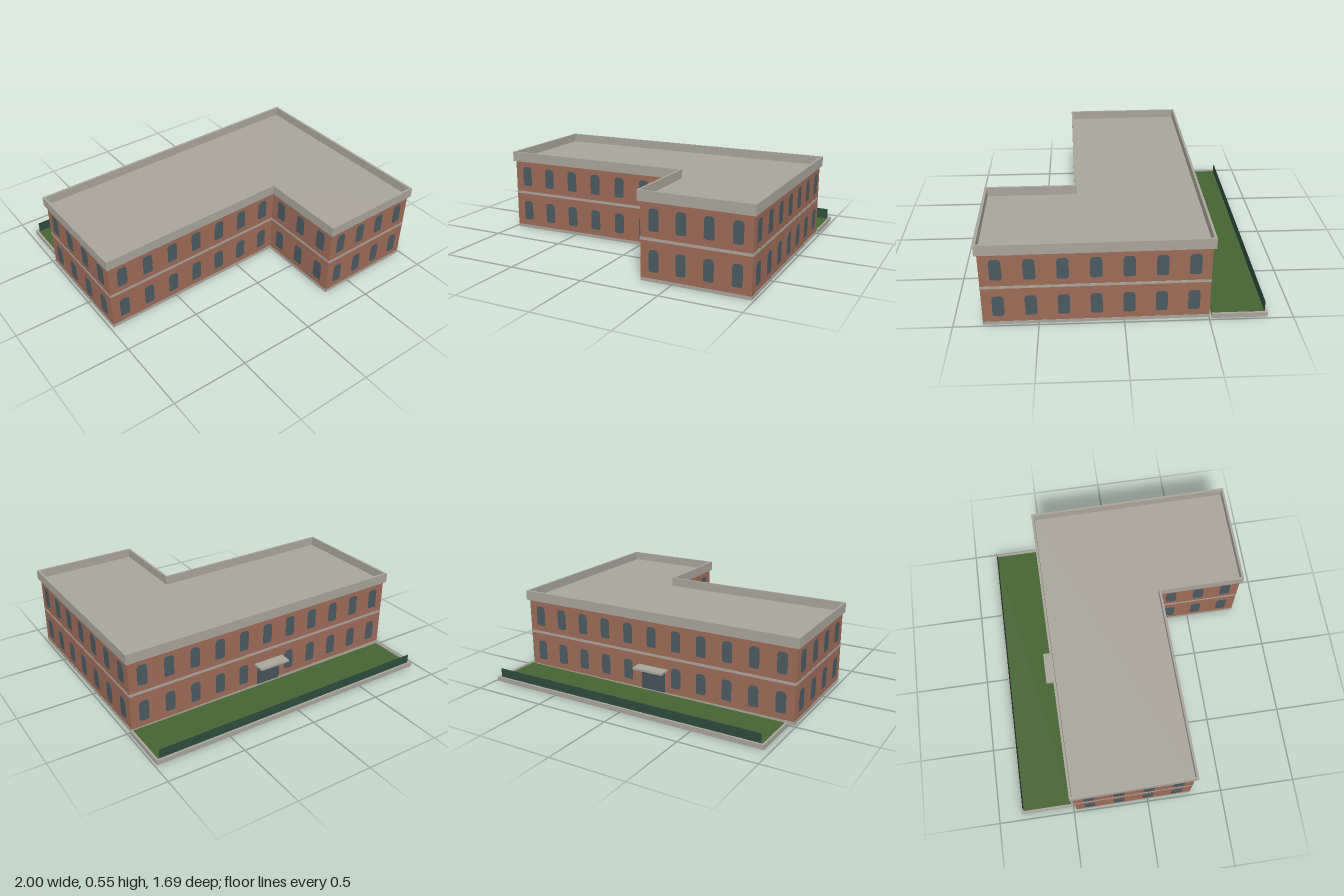
import * as THREE from 'three';

const material = (name, color, side = THREE.FrontSide) => {
  const m = new THREE.MeshStandardMaterial({ color, side });
  m.name = name;
  return m;
};

export function createModel() {
  const model = new THREE.Group();
  model.name = 'brickBuilding';

  const brick = material('brick', 0x9c6b57, THREE.DoubleSide);
  const stone = material('stone', 0xa8a49a, THREE.DoubleSide);
  const glass = material('windowGlass', 0x4a5a60);
  const doorPaint = material('doorPaint', 0x46535b);
  const grass = material('grass', 0x446332, THREE.DoubleSide);
  const hedgeGreen = material('hedgeGreen', 0x2c4d3d, THREE.DoubleSide);

  const add = (parent, name, geometry, mat, x = 0, y = 0, z = 0) => {
    const mesh = new THREE.Mesh(geometry, mat);
    mesh.name = name;
    mesh.position.set(x, y, z);
    parent.add(mesh);
    return mesh;
  };
  const box = (parent, name, mat, w, h, d, x, y, z) =>
    add(parent, name, new THREE.BoxGeometry(w, h, d), mat, x, y, z);

  // L-shaped plan as [x, z] corners: wall line and the wider parapet line
  const wallLine = [[-0.977, 0.29], [0.3, 0.266], [0.303, 0.831], [0.984, 0.825], [0.971, -0.502], [-0.985, -0.482]];
  const parapetLine = [[-0.99, 0.305], [0.286, 0.281], [0.288, 0.846], [1, 0.839], [0.986, -0.518], [-1, -0.497]];
  const plan = (points) => points.map(([x, z]) => new THREE.Vector2(x, -z));

  const WALL_TOP = 0.482;
  const ROOF_TOP = 0.545;

  // Window outline with clipped bottom corners and a shallow arched head
  const windowGeometry = (w, h) => {
    const r = w / 2, c = 0.008;
    const s = new THREE.Shape();
    s.moveTo(-r + c, 0);
    s.lineTo(r - c, 0);
    s.lineTo(r, c);
    s.lineTo(r, h - 0.024);
    s.quadraticCurveTo(r - 0.003, h, r - 0.02, h);
    s.lineTo(-r + 0.02, h);
    s.quadraticCurveTo(-r + 0.003, h, -r, h - 0.024);
    s.lineTo(-r, c);
    return new THREE.ExtrudeGeometry(s, { depth: 0.006, bevelEnabled: false, curveSegments: 5 })
      .translate(0, 0, -0.003);
  };

  // Walls: each runs along local x and faces local +z
  const windowCounts = [7, 3, 4, 7, 11, 4];
  const wallNames = ['mainFrontWall', 'wingRightWall', 'wingFrontWall', 'leftWall', 'backWall', 'rightWall'];
  wallLine.forEach(([ax, az], i) => {
    const [bx, bz] = wallLine[(i + 1) % wallLine.length];
    const length = Math.hypot(bx - ax, bz - az);
    const wall = new THREE.Group();
    wall.name = wallNames[i];
    wall.position.set(ax, 0, az);
    wall.rotation.y = Math.atan2(az - bz, bx - ax);
    model.add(wall);

    add(wall, 'brickFace', new THREE.PlaneGeometry(length, WALL_TOP), brick, length / 2, WALL_TOP / 2, 0);
    box(wall, 'plinthBand', stone, length, 0.02, 0.004, length / 2, 0.01, 0);
    box(wall, 'floorBand', stone, length, 0.017, 0.004, length / 2, 0.257, 0);

    const count = windowCounts[i];
    const step = length / count;
    const pane = windowGeometry(step * 0.365, 0.135);
    for (let n = 0; n < count; n++) {
      const x = (n + 0.5) * step;
      const isEntrance = wallNames[i] === 'backWall' && n === 5;
      if (!isEntrance) add(wall, 'lowerWindow', pane, glass, x, 0.061, 0);
      add(wall, 'upperWindow', pane, glass, x, 0.307, 0);
    }
  });

  // Flat roof and the parapet ring around it
  const roof = new THREE.ShapeGeometry(new THREE.Shape(plan(wallLine))).rotateX(-Math.PI / 2);
  add(model, 'flatRoof', roof, stone, 0, 0.487, 0);
  const ring = new THREE.Shape(plan(parapetLine));
  ring.holes.push(new THREE.Path(plan(wallLine)));
  const parapet = new THREE.ExtrudeGeometry(ring, { depth: ROOF_TOP - 0.48, bevelEnabled: false })
    .rotateX(-Math.PI / 2);
  add(model, 'parapet', parapet, stone, 0, 0.48, 0);

  // Back entrance with canopy
  box(model, 'door', doorPaint, 0.17, 0.15, 0.008, -0.02, 0.095, -0.494);
  box(model, 'doorCanopy', stone, 0.215, 0.014, 0.078, -0.02, 0.173, -0.533);

  // Back garden: lawn, curbs and a thin hedge along the far edge
  const lawn = new THREE.PlaneGeometry(1.93, 0.335).rotateX(-Math.PI / 2);
  add(model, 'lawn', lawn, grass, 0.013, 0.02, -0.68);
  box(model, 'backCurb', stone, 1.946, 0.03, 0.014, 0.013, 0.015, -0.841);
  for (const [name, x] of [['leftCurb', 0.979], ['rightCurb', -0.953]]) {
    box(model, name, stone, 0.014, 0.03, 0.332, x, 0.015, -0.681);
  }
  add(model, 'hedge', new THREE.PlaneGeometry(1.9, 0.07), hedgeGreen, 0.013, 0.055, -0.833);

  return model;
}
